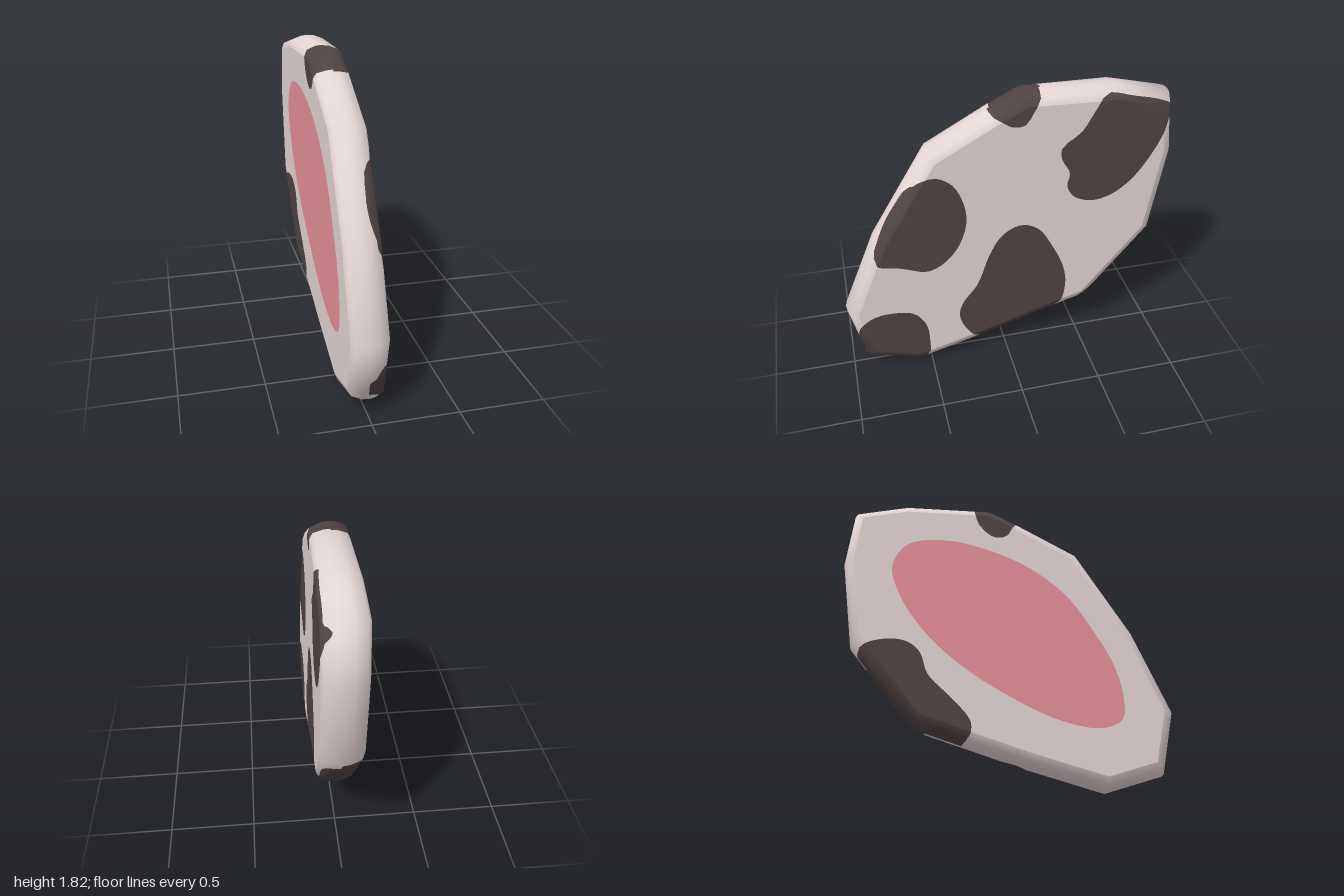
import * as THREE from 'three';

// Outline of the slab as [z, y], in order around the rim
const OUTLINE = [
  [-0.1, 1.82], [-0.63, 1.81], [-0.96, 1.73], [-1, 1.38], [-0.92, 0.83], [-0.53, 0.34], [0.12, 0.13],
  [0.58, 0], [0.92, 0.11], [1, 0.48], [0.79, 0.98], [0.46, 1.52], [0.09, 1.725],
];
const CENTRE = [0, 0.92];

// Rim cross-section: inset from the outline, share of the half thickness, normal angle
const RIM = [[0.065, 1, 0.4], [0.025, 0.85, 0.85], [0.004, 0.35, 1.35], [0, 0, Math.PI / 2]];

// Markings as closed [z, y] loops, on the left (+x) and right (-x) faces
const LEFT_PATCHES = [
  [[0.11, 1.74], [0.03, 1.68], [-0.03, 1.645], [-0.1, 1.65], [-0.145, 1.72], [-0.195, 1.82], [-0.2, 1.9], [0.1, 1.9]],
  [[-0.56, 1.785], [-0.72, 1.755], [-0.88, 1.715], [-0.95, 1.68], [-0.95, 1.6], [-0.905, 1.465], [-0.825, 1.315],
    [-0.745, 1.21], [-0.64, 1.13], [-0.53, 1.1], [-0.41, 1.135], [-0.355, 1.225], [-0.37, 1.305],
    [-0.315, 1.41], [-0.315, 1.48], [-0.425, 1.57], [-0.495, 1.69]],
  [[0.435, 1.385], [0.325, 1.33], [0.255, 1.17], [0.25, 1.04], [0.31, 0.875], [0.41, 0.77], [0.5, 0.738],
    [0.595, 0.77], [0.675, 0.8], [0.783, 0.825], [0.8, 0.89], [0.74, 1.045], [0.65, 1.2], [0.555, 1.33]],
  [[-0.085, 0.985], [-0.19, 0.94], [-0.28, 0.8], [-0.355, 0.635], [-0.38, 0.5], [-0.355, 0.34], [-0.29, 0.275],
    [-0.075, 0.2], [0.165, 0.13], [0.245, 0.19], [0.31, 0.34], [0.29, 0.44], [0.19, 0.58], [0.11, 0.8], [0.03, 0.93]],
  [[0.93, 0.37], [0.835, 0.44], [0.7, 0.45], [0.595, 0.42], [0.525, 0.315], [0.51, 0.18], [0.525, 0.04],
    [0.62, 0.03], [0.81, 0.085], [0.92, 0.13], [0.945, 0.235]],
  [[-0.82, 0.705], [-0.76, 0.66], [-0.65, 0.535], [-0.55, 0.41], [-0.49, 0.37], [-0.46, 0.32], [-0.55, 0.2], [-0.9, 0.6]],
];
const RIGHT_PATCHES = [
  [[-0.2, 1.9], [-0.2, 1.78], [-0.17, 1.68], [-0.08, 1.6], [0, 1.61], [0.05, 1.69], [0.1, 1.76], [0.1, 1.9]],
  [[-0.88, 0.76], [-0.79, 0.83], [-0.61, 0.847], [-0.51, 0.78], [-0.457, 0.64], [-0.325, 0.507], [-0.2, 0.36],
    [-0.22, 0.26], [-0.45, 0.25], [-0.75, 0.5]],
];
const PINK = [
  [[-0.61, 1.505], [-0.376, 1.55], [-0.1, 1.495], [0.15, 1.384], [0.376, 1.2], [0.528, 0.976], [0.64, 0.766],
    [0.69, 0.576], [0.68, 0.41], [0.558, 0.35], [0.305, 0.39], [0, 0.534], [-0.284, 0.718], [-0.508, 0.934],
    [-0.65, 1.156], [-0.7, 1.345]],
];

const smoothLoop = (pts) => new THREE.CatmullRomCurve3(
  pts.map(([z, y]) => new THREE.Vector3(z, y, 0)), true, 'centripetal').getPoints(pts.length * 4);

// Signed distance to a set of loops, negative inside
function markingField(loops) {
  const curves = loops.map(smoothLoop);
  return ([, y, z]) => Math.min(...curves.map((c) => {
    let d = Infinity, inside = false;
    for (let i = 0; i < c.length - 1; i++) {
      const a = c[i], b = c[i + 1], ex = b.x - a.x, ey = b.y - a.y;
      const t = THREE.MathUtils.clamp(((z - a.x) * ex + (y - a.y) * ey) / (ex * ex + ey * ey || 1), 0, 1);
      d = Math.min(d, Math.hypot(z - a.x - ex * t, y - a.y - ey * t));
      if ((a.y > y) !== (b.y > y) && z < a.x + (ex * (y - a.y)) / ey) inside = !inside;
    }
    return inside ? -d : d;
  }));
}

// Cut triangles along the zero line of a field
function splitTriangles(tris, field) {
  const inside = [], outside = [];
  for (const tri of tris) {
    const f = tri.map(field);
    for (const [sign, out] of [[-1, inside], [1, outside]]) {
      const poly = [];
      tri.forEach((p, i) => {
        const j = (i + 1) % 3, q = tri[j];
        if (f[i] * sign >= 0) poly.push(p);
        if (f[i] * f[j] < 0) poly.push(p.map((v, k) => v + ((q[k] - v) * f[i]) / (f[i] - f[j])));
      });
      for (let i = 1; i < poly.length - 1; i++) out.push([poly[0], poly[i], poly[i + 1]]);
    }
  }
  return [inside, outside];
}

// Outline corners with their mitred outward directions
const N = OUTLINE.length, STEPS = 12, FACE_RINGS = 24;
const edgeNormal = (i) => {
  const a = OUTLINE[(i + N) % N], b = OUTLINE[(i + 1) % N];
  const l = Math.hypot(b[0] - a[0], b[1] - a[1]);
  return [-(b[1] - a[1]) / l, (b[0] - a[0]) / l].map((v) => -v);
};
const MITRES = OUTLINE.map((_, i) => {
  const a = edgeNormal(i - 1), b = edgeNormal(i), k = 1 + a[0] * b[0] + a[1] * b[1];
  const m = [(a[0] + b[0]) / k, (a[1] + b[1]) / k], p = OUTLINE[i];
  const s = m[0] * (p[0] - CENTRE[0]) + m[1] * (p[1] - CENTRE[1]) < 0 ? -1 : 1;
  return [m[0] * s, m[1] * s];
});

// One ring of vertices [x, y, z, nx, ny, nz]
function ring(side, inset, scale, share, angle) {
  const out = [];
  for (let i = 0; i < N; i++) {
    for (let s = 0; s < STEPS; s++) {
      const j = (i + 1) % N, t = s / STEPS;
      const at = (k) => THREE.MathUtils.lerp(
        OUTLINE[i][k] - MITRES[i][k] * inset, OUTLINE[j][k] - MITRES[j][k] * inset, t);
      const z = CENTRE[0] + (at(0) - CENTRE[0]) * scale, y = CENTRE[1] + (at(1) - CENTRE[1]) * scale;
      const half = 0.107 + 0.014 * THREE.MathUtils.smoothstep(-z, 0, 0.95);
      const n = new THREE.Vector2(
        THREE.MathUtils.lerp(MITRES[i][0], MITRES[j][0], t),
        THREE.MathUtils.lerp(MITRES[i][1], MITRES[j][1], t)).normalize().multiplyScalar(Math.sin(angle));
      out.push([side * half * share, y, z, side * Math.cos(angle), n.y, n.x]);
    }
  }
  return out;
}

// Triangles between successive rings, turned to face along their normals
function skin(rings, tris) {
  const add = (a, b, c) => {
    const [p, q, r] = [a, b, c].map((v) => new THREE.Vector3(v[0], v[1], v[2]));
    const g = q.sub(p).cross(r.sub(p));
    if (g.length() < 1e-10) return;
    const m = [0, 1, 2].map((k) => a[3 + k] + b[3 + k] + c[3 + k]);
    tris.push(g.x * m[0] + g.y * m[1] + g.z * m[2] < 0 ? [a, c, b] : [a, b, c]);
  };
  for (let r = 0; r < rings.length - 1; r++) {
    const A = rings[r], B = rings[r + 1];
    A.forEach((_, i) => {
      const j = (i + 1) % A.length;
      add(A[i], B[i], B[j]);
      add(A[i], B[j], A[j]);
    });
  }
}

function buildMesh(name, tris, material) {
  const verts = tris.flat(), geo = new THREE.BufferGeometry();
  geo.setAttribute('position', new THREE.Float32BufferAttribute(verts.flatMap((v) => v.slice(0, 3)), 3));
  geo.setAttribute('normal', new THREE.Float32BufferAttribute(verts.flatMap((v) => v.slice(3)), 3));
  const mesh = new THREE.Mesh(geo, material);
  mesh.name = name;
  return mesh;
}

export function createModel() {
  const group = new THREE.Group();
  group.name = 'spottedEar';
  const mat = (name, color) => Object.assign(new THREE.MeshStandardMaterial({ color }), { name });
  const cream = mat('cream', 0xe3d5d4), brown = mat('darkBrown', 0x514343), pink = mat('pink', 0xe58f99);

  for (const [side, label, patches] of [[1, 'left', LEFT_PATCHES], [-1, 'right', RIGHT_PATCHES]]) {
    const tris = [];
    // Flat face, then rounded rim down to the middle of the edge
    const face = [];
    for (let i = 0; i <= FACE_RINGS; i++) face.push(ring(side, RIM[0][0], i / FACE_RINGS, 1, 0));
    skin(face, tris);
    skin(RIM.map(([inset, share, angle]) => ring(side, inset, 1, share, angle)), tris);

    // Markings are cut out of the skin as their own faces
    let [dark, coat] = splitTriangles(tris, markingField(patches));
    group.add(buildMesh(label + 'DarkPatches', dark, brown));
    if (side < 0) {
      const [inner, rest] = splitTriangles(coat, markingField(PINK));
      group.add(buildMesh('innerEar', inner, pink));
      coat = rest;
    }
    group.add(buildMesh(label + 'Coat', coat, cream));
  }
  return group;
}
